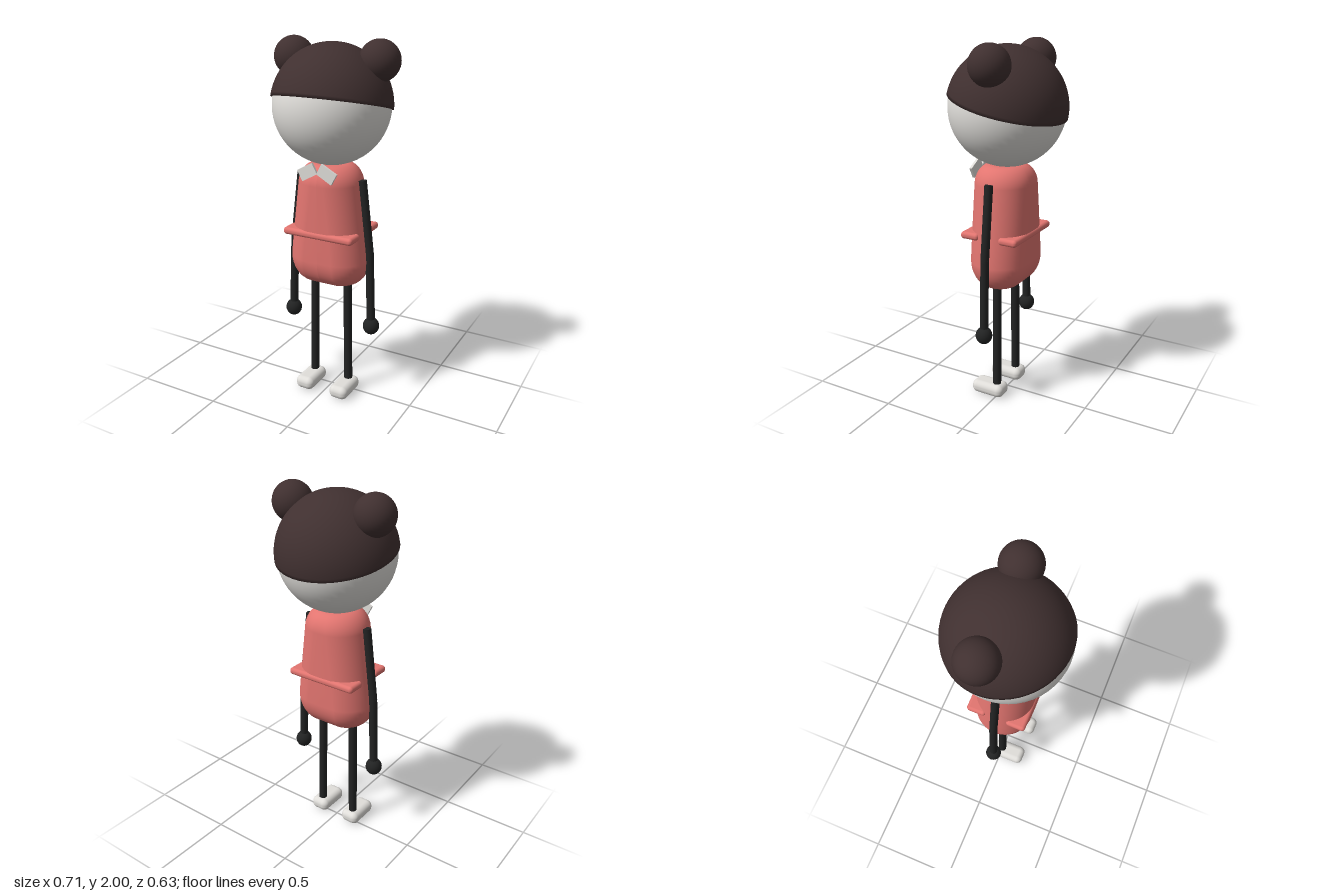
import * as THREE from 'three';
import { RoundedBoxGeometry } from 'three/addons/geometries/RoundedBoxGeometry.js';

const material = (name, color) => {
  const m = new THREE.MeshStandardMaterial({ color });
  m.name = name;
  return m;
};

const Z = 0.007; // depth of the body axis

// Tapered body: a lathe stretched sideways into a stadium cross-section
function bodyGeometry() {
  const y0 = 0.68, y1 = 1.357, depth = 0.163;
  const profile = [new THREE.Vector2(0, y0)];
  const corner = (inset, height, yEdge, dir, t) => new THREE.Vector2(
    depth - inset * (1 - Math.sin(t)), yEdge + dir * height * (1 - Math.cos(t)));
  const steps = 10;
  for (let i = 0; i <= steps; i++) profile.push(corner(0.11, 0.15, y0, 1, (i / steps) * Math.PI / 2));
  for (let i = 1; i < 5; i++) profile.push(new THREE.Vector2(depth, THREE.MathUtils.lerp(y0 + 0.15, y1 - 0.1, i / 5)));
  for (let i = steps; i >= 0; i--) profile.push(corner(0.08, 0.1, y1, -1, (i / steps) * Math.PI / 2));
  profile.push(new THREE.Vector2(0, y1));

  const geometry = new THREE.LatheGeometry(profile, 48);
  const p = geometry.attributes.position;
  for (let i = 0; i < p.count; i++) {
    const x = p.getX(i);
    if (Math.abs(x) < 1e-5) continue;
    const stretch = Math.min(0.065, 0.065 - 0.12 * (p.getY(i) - 0.84));
    p.setX(i, x + Math.sign(x) * stretch);
  }
  geometry.computeVertexNormals();
  return geometry;
}

// Cap: a thin half shell with a narrow rim underneath
function capGeometry() {
  const R = 0.322, end = Math.PI / 2 - 0.035, steps = 28;
  const profile = [new THREE.Vector2(0.3, R * Math.cos(end))];
  for (let i = 0; i <= steps; i++) {
    const t = end * (1 - i / steps);
    profile.push(new THREE.Vector2(R * Math.sin(t), R * Math.cos(t)));
  }
  return new THREE.LatheGeometry(profile, 56);
}

export function createModel() {
  const group = new THREE.Group();
  const skin = material('offWhite', 0xe0deda);
  const red = material('coralRed', 0xe27570);
  const brown = material('darkBrown', 0x403030);
  const black = material('softBlack', 0x222323);

  const add = (name, geometry, mat, x = 0, y = 0, z = 0) => {
    const mesh = new THREE.Mesh(geometry, mat);
    mesh.name = name;
    mesh.position.set(x, y, z);
    group.add(mesh);
    return mesh;
  };

  // Straight limb piece between two points
  const limb = (name, a, b, radius) => {
    const dir = b.clone().sub(a);
    const mesh = add(name, new THREE.CylinderGeometry(radius, radius, dir.length(), 12), black);
    mesh.position.copy(a).add(b).multiplyScalar(0.5);
    mesh.quaternion.setFromUnitVectors(new THREE.Vector3(0, 1, 0), dir.normalize());
  };

  // Head and tilted cap
  add('head', new THREE.SphereGeometry(0.312, 48, 32), skin, 0, 1.66, 0);
  add('cap', capGeometry(), brown, 0, 1.658, 0).rotation.x = -0.23;

  // Body with front and back belt bars
  add('body', bodyGeometry(), red, 0, 0, Z);
  for (const [name, z] of [['beltFront', 0.122], ['beltBack', -0.108]])
    add(name, new RoundedBoxGeometry(0.418, 0.04, 0.11, 4, 0.018), red, 0, 0.986, z);

  for (const side of [1, -1]) {
    const label = side > 0 ? 'left' : 'right';
    const at = (x, y) => new THREE.Vector3(side * x, y, Z);

    add(label + 'Ear', new THREE.SphereGeometry(0.107, 32, 24), brown, side * 0.25, 1.893, -0.04);

    // Bow tie wing
    const wing = add(label + 'BowWing', new THREE.BoxGeometry(0.1, 0.065, 0.014), skin, side * 0.057, 1.331, 0.16);
    wing.rotation.z = -side * 0.5;

    // Slightly bent arm with a round hand
    limb(label + 'UpperArm', at(0.186, 1.28), at(0.236, 0.87), 0.023);
    limb(label + 'Forearm', at(0.235, 0.88), at(0.252, 0.45), 0.023);
    add(label + 'Hand', new THREE.SphereGeometry(0.046, 20, 14), black, side * 0.252, 0.448, Z).scale.y = 1.07;

    // Leg and shoe
    limb(label + 'Leg', at(0.103, 0.74), at(0.112, 0.05), 0.024);
    add(label + 'Shoe', new RoundedBoxGeometry(0.112, 0.076, 0.198, 5, 0.034), skin, side * 0.11, 0.04, 0.054);
  }
  return group;
}
